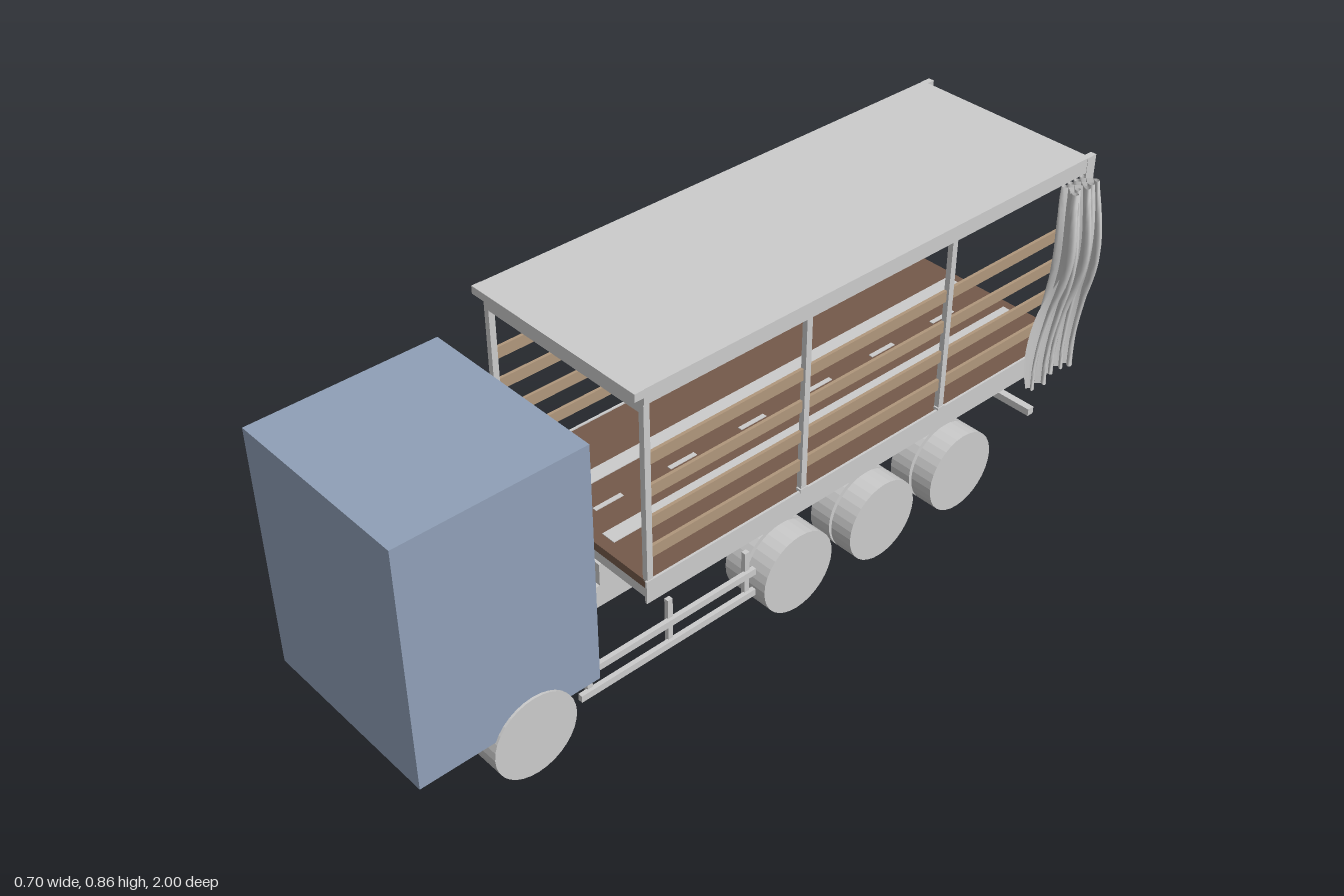
import * as THREE from 'three';

const mat = (name, color, side = THREE.FrontSide) => {
  const m = new THREE.MeshStandardMaterial({ color, side });
  m.name = name;
  return m;
};

export function createModel() {
  const root = new THREE.Group();
  root.name = 'curtainSideTruck';
  const grey = mat('lightGrey', 0xcccccc, THREE.DoubleSide);
  const blue = mat('cabBlue', 0x90a0b8);
  const brown = mat('floorBrown', 0x755a4a);
  const tan = mat('slatTan', 0xb0977c);

  const add = (name, geo, material) => {
    const mesh = new THREE.Mesh(geo, material);
    mesh.name = name;
    root.add(mesh);
    return mesh;
  };
  // Box given by its limits on each axis
  const box = (name, material, x0, x1, y0, y1, z0, z1) => {
    const g = new THREE.BoxGeometry(Math.abs(x1 - x0), y1 - y0, z1 - z0);
    g.translate((x0 + x1) / 2, (y0 + y1) / 2, (z0 + z1) / 2);
    return add(name, g, material);
  };
  // Same box on both sides
  const pair = (name, material, x0, x1, ...rest) => {
    for (const s of [1, -1]) box(name, material, s * x0, s * x1, ...rest);
  };

  // Cab
  box('cab', blue, -0.25, 0.25, 0.155, 0.785, 0.53, 1);

  // Wheels: single in front, twin behind
  const wheel = (name, x0, x1, z) => {
    for (const s of [1, -1]) {
      const g = new THREE.CylinderGeometry(0.109, 0.109, x1 - x0, 32).toNonIndexed();
      g.computeVertexNormals();
      g.rotateZ(Math.PI / 2);
      g.translate(s * (x0 + x1) / 2, 0.11, z);
      add(name, g, grey);
    }
  };
  wheel('frontWheel', 0.178, 0.256, 0.71);
  for (const z of [-0.06, -0.34, -0.62]) {
    wheel('rearInnerWheel', 0.125, 0.186, z);
    wheel('rearOuterWheel', 0.194, 0.256, z);
  }

  // Chassis rails, deeper under the body
  const rail = new THREE.Shape();
  [[-0.58, 0.18], [-0.58, 0.24], [-0.4, 0.24], [-0.4, 0.3], [0.97, 0.3], [0.97, 0.24], [0.87, 0.24], [0.87, 0.18]]
    .forEach(([z, y], i) => (i ? rail.lineTo(z, y) : rail.moveTo(z, y)));
  for (const s of [1, -1]) {
    const g = new THREE.ExtrudeGeometry(rail, { depth: 0.022, bevelEnabled: false });
    g.rotateY(Math.PI / 2);
    g.translate(s * 0.086 - 0.011, 0, 0);
    add('chassisRail', g, grey);
  }

  // Floor with bearers beneath
  box('floor', brown, -0.257, 0.257, 0.335, 0.357, -0.985, 0.4);
  pair('floorStrip', grey, 0.075, 0.115, 0.357, 0.359, -0.96, 0.37);
  for (let i = 0; i < 6; i++) {
    const z = -0.85 + i * 0.22;
    box('floorDash', grey, -0.006, 0.006, 0.357, 0.359, z, z + 0.08);
  }
  for (let i = 0; i < 15; i++) {
    const z = 0.385 - i * 0.096;
    box('floorBearer', grey, -0.255, 0.255, 0.3, 0.335, z - 0.008, z + 0.008);
  }

  // Body frame
  pair('lowerSideRail', grey, 0.257, 0.263, 0.3, 0.36, -0.985, 0.405);
  pair('upperSideRail', grey, 0.248, 0.263, 0.82, 0.86, -0.98, 0.4);
  pair('rearPost', grey, 0.248, 0.264, 0.3, 0.86, -1, -0.97);
  pair('frontPost', grey, 0.245, 0.26, 0.335, 0.83, 0.384, 0.4);
  for (const z of [-0.06, -0.515]) {
    pair('sidePost', grey, 0.248, 0.262, 0.34, 0.83, z - 0.008, z + 0.008);
    pair('postFoot', grey, 0.25, 0.264, 0.355, 0.365, z - 0.012, z + 0.012);
  }
  for (const y of [0.428, 0.508, 0.591, 0.675])
    pair('sideSlat', tan, 0.248, 0.256, y - 0.015, y + 0.015, -0.97, 0.385);

  // Roof
  box('roof', grey, -0.26, 0.26, 0.852, 0.86, -0.978, 0.415);
  box('frontHeader', grey, -0.25, 0.25, 0.795, 0.842, 0.385, 0.4);
  box('roofLip', grey, -0.264, 0.264, 0.84, 0.86, 0.4, 0.425);
  box('rearHeader', grey, -0.25, 0.25, 0.83, 0.855, -0.985, -0.972);
  for (let i = 1; i < 14; i++) {
    const z = 0.4 - i * 0.0985;
    box('roofRib', grey, -0.25, 0.25, 0.838, 0.852, z - 0.005, z + 0.005);
  }
  for (const x of [-0.125, 0, 0.125])
    box('roofStringer', grey, x - 0.004, x + 0.004, 0.84, 0.852, -0.97, 0.39);

  // Side guards
  for (const y of [0.122, 0.184])
    pair('sideGuardRail', grey, 0.236, 0.248, y - 0.009, y + 0.009, 0.07, 0.58);
  for (const z of [0.09, 0.32, 0.55])
    pair('sideGuardPost', grey, 0.228, 0.24, 0.115, 0.245, z - 0.007, z + 0.007);

  // Rear underrun bar
  box('underrunBar', grey, -0.25, 0.25, 0.147, 0.167, -0.9, -0.88);
  pair('underrunHanger', grey, 0.08, 0.096, 0.16, 0.25, -0.896, -0.882);

  // Gathered curtains: folded sheets swaying with height
  const curtain = (s) => {
    const nu = 72, nv = 20, folds = 4.5;
    const g = new THREE.PlaneGeometry(1, 1, nu, nv);
    const p = g.attributes.position;
    for (let i = 0; i < p.count; i++) {
      const t = p.getX(i) + 0.5, v = p.getY(i) + 0.5;
      const ph = t * folds * Math.PI * 2 + 0.6 * Math.sin(v * 6);
      const sway = s > 0 ? Math.sin((v - 0.42) * 5.5) : Math.cos((v - 0.22) * 4.2);
      const reach = 0.058 + 0.018 * sway;
      const inner = 0.266 + 0.01 * Math.max(0, sway);
      const x = inner + reach * (0.5 + 0.5 * Math.sin(ph)) * (0.88 + 0.12 * Math.sin(t * 11 + v * 3));
      const front = -0.865 + 0.055 * (1 - v);
      const z = -0.962 + t * (front + 0.962) + 0.01 * Math.sin(2 * ph) + 0.006 * Math.sin(v * 9) * t;
      p.setXYZ(i, s * x, 0.295 + v * 0.53 + 0.01 * (1 - v) * Math.sin(t * 5), z);
    }
    g.computeVertexNormals();
    add(s > 0 ? 'leftCurtain' : 'rightCurtain', g, grey);
  };
  curtain(1);
  curtain(-1);

  return root;
}
